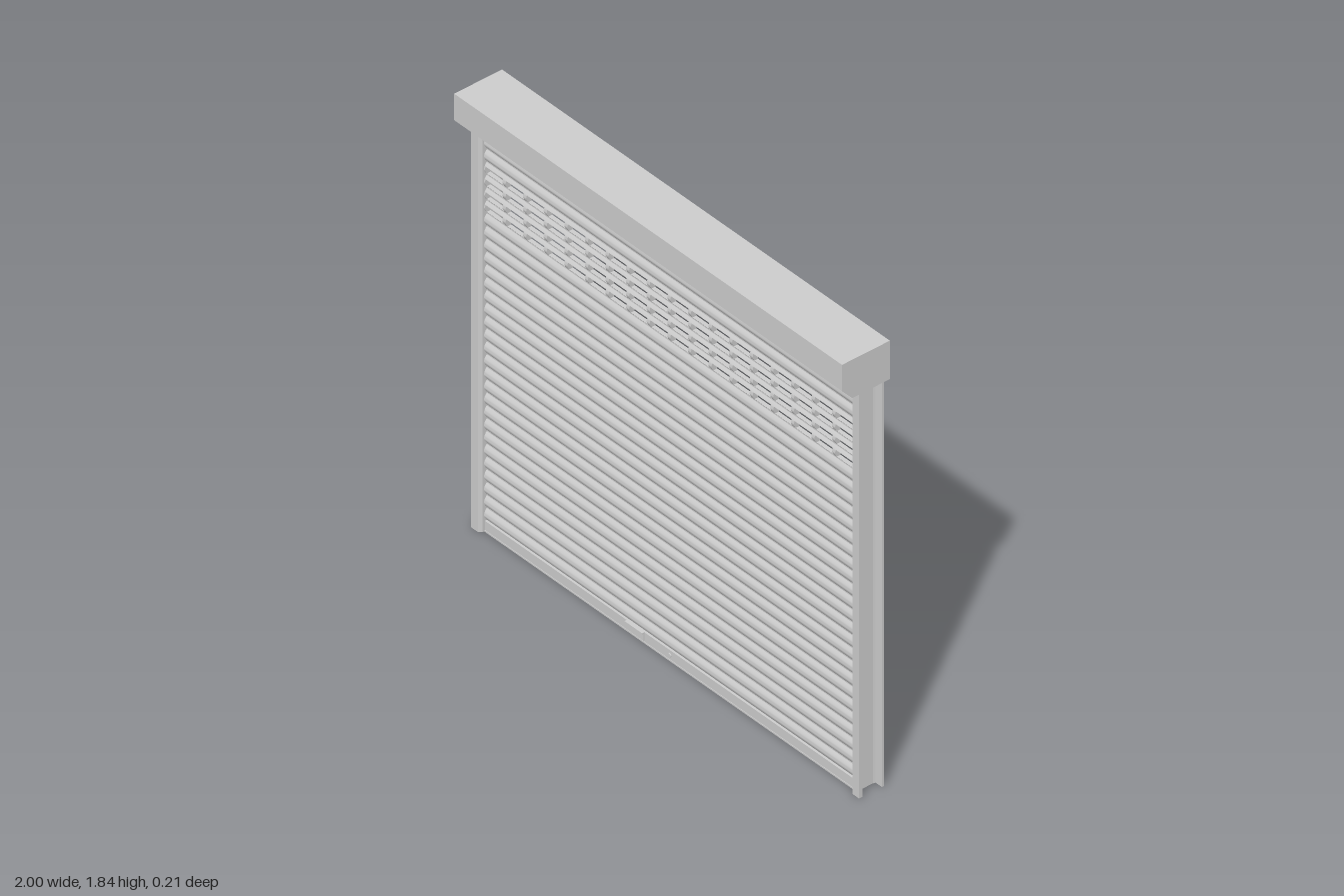
import * as THREE from 'three';
import { mergeGeometries, toCreasedNormals } from 'three/addons/utils/BufferGeometryUtils.js';

const PITCH = 0.0533, SLAT_START = 0.04, SLATS = 31, HALF = 0.953;
const HOLE_LOW = 0.0115, HOLE_HIGH = 0.0415, HOLE_W = 0.09, HOLE_STEP = 0.1062, COLUMNS = 18;
const GROOVE = 0.007;

const grey = new THREE.MeshStandardMaterial({ color: 0xcccccc });

function add(parent, name, geometry, x = 0, y = 0, z = 0) {
  const mesh = new THREE.Mesh(geometry, grey);
  mesh.name = name;
  mesh.position.set(x, y, z);
  parent.add(mesh);
  return mesh;
}

// Extrude a [z, y] section along x from x0 to x1
function extrudeX(section, x0, x1) {
  const shape = new THREE.Shape(section.map(([z, y]) => new THREE.Vector2(-z, y)));
  return new THREE.ExtrudeGeometry(shape, { depth: x1 - x0, bevelEnabled: false })
    .rotateY(Math.PI / 2).translate(x0, 0, 0);
}

// Extrude an [x, z] plan upwards
function extrudeY(plan, height) {
  const shape = new THREE.Shape(plan.map(([x, z]) => new THREE.Vector2(x, -z)));
  return new THREE.ExtrudeGeometry(shape, { depth: height, bevelEnabled: false })
    .rotateX(-Math.PI / 2);
}

// Curved front of a slat between two heights, with a flat back
function slatSection(y0, y1) {
  const points = [];
  const start = Math.max(y0, GROOVE), steps = 8;
  if (y0 < GROOVE) points.push([-0.006, y0], [0.001, y0], [0.001, GROOVE]);
  else points.push([-0.01, y0]);
  for (let i = 0; i <= steps; i++) {
    const y = start + (y1 - start) * i / steps;
    const t = (y - GROOVE) / (PITCH - GROOVE);
    points.push([0.003 + 0.011 * Math.sin(Math.PI * t), y]);
  }
  points.push([-0.01, y1]);
  if (y0 < GROOVE) points.push([-0.01, 0.004], [-0.006, 0.004]);
  return points;
}

function slatPiece(y0, y1, x0, x1) {
  return toCreasedNormals(extrudeX(slatSection(y0, y1), x0, x1), 0.6);
}

// Slat with a row of rectangular windows: two strips joined by ribs
function windowSlat() {
  const parts = [slatPiece(0, HOLE_LOW, -HALF, HALF), slatPiece(HOLE_HIGH, PITCH, -HALF, HALF)];
  let left = -HALF;
  for (let i = 0; i < COLUMNS; i++) {
    const centre = (i - (COLUMNS - 1) / 2) * HOLE_STEP;
    parts.push(slatPiece(HOLE_LOW, HOLE_HIGH, left, centre - HOLE_W / 2));
    left = centre + HOLE_W / 2;
  }
  parts.push(slatPiece(HOLE_LOW, HOLE_HIGH, left, HALF));
  return mergeGeometries(parts);
}

export function createModel() {
  const model = new THREE.Group();
  model.name = 'rollerShutter';

  // Roll housing with chamfered lower front edge
  add(model, 'housing', extrudeX([
    [0.105, 1.84], [-0.105, 1.84], [-0.105, 1.68], [0.06, 1.68], [0.105, 1.73],
  ], -1, 1));

  // Guide rails: channels open to the outside, with a slanted front lip
  for (const side of [1, -1]) {
    const plan = [
      [1, 0.03], [0.965, 0.03], [0.955, 0.018], [0.955, -0.06], [0.963, -0.08], [1, -0.08],
      [1, -0.07], [0.968, -0.07], [0.965, -0.06], [0.965, 0.015], [1, 0.015],
    ].map(([x, z]) => [side * x, z]);
    add(model, side > 0 ? 'leftGuideRail' : 'rightGuideRail', extrudeY(plan, 1.68));
  }

  // Curtain of slats; four rows carry windows
  const curtain = new THREE.Group();
  curtain.name = 'curtain';
  model.add(curtain);
  const plain = slatPiece(0, PITCH, -HALF, HALF);
  const pierced = windowSlat();
  for (let i = 0; i < SLATS; i++) {
    const hasWindows = i >= 24 && i <= 27;
    add(curtain, hasWindows ? 'windowSlat' : 'slat', hasWindows ? pierced : plain,
      0, SLAT_START + i * PITCH, 0);
  }

  // Bottom bar with its foot strip, handle plate and lock
  add(model, 'bottomBar', new THREE.BoxGeometry(2 * HALF, 0.039, 0.02), 0, 0.0245, 0);
  add(model, 'footStrip', new THREE.BoxGeometry(2 * HALF, 0.006, 0.024), 0, 0.003, 0);
  add(model, 'handlePlate', new THREE.BoxGeometry(0.092, 0.034, 0.006), -0.176, 0.027, 0.011);
  add(model, 'handleLip', new THREE.BoxGeometry(0.092, 0.005, 0.012), -0.176, 0.042, 0.014);
  add(model, 'lock', new THREE.CylinderGeometry(0.009, 0.009, 0.006, 20).rotateX(Math.PI / 2),
    0, 0.023, 0.011);

  return model;
}
